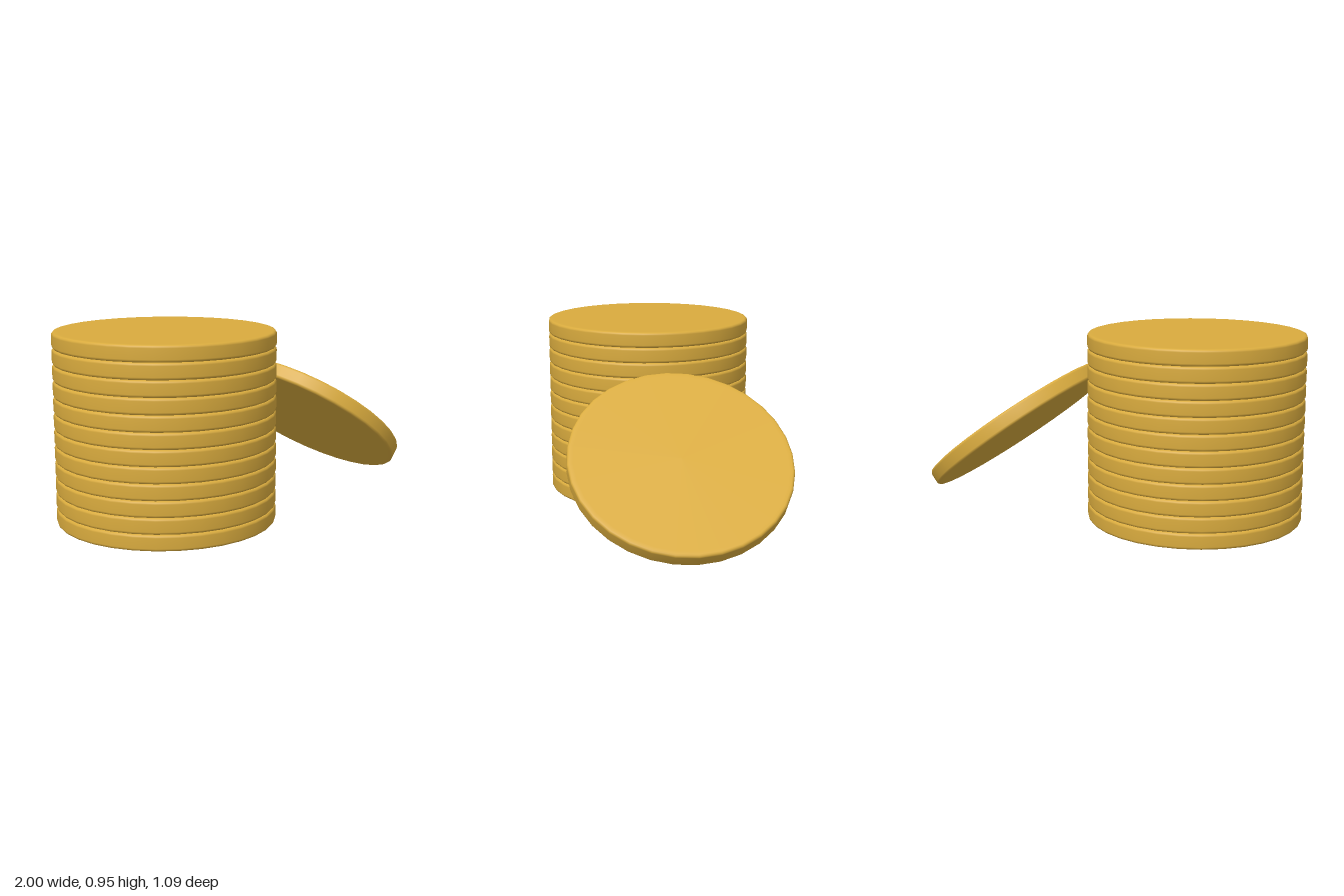
import * as THREE from 'three';

const RADIUS = 0.545;
const THICK = 0.079;
const COUNT = 12;

// Disc with a small rounded rim, centred on its own middle
function coinGeometry() {
  const h = THICK / 2, b = 0.014, steps = 3;
  const points = [new THREE.Vector2(0, -h), new THREE.Vector2(RADIUS - b * 2, -h)];
  for (const side of [-1, 1]) {
    for (let i = 0; i <= steps; i++) {
      const t = (i / steps) * (Math.PI / 2);
      const a = side < 0 ? t - Math.PI / 2 : t;
      points.push(new THREE.Vector2(
        RADIUS - b + b * Math.cos(a),
        side * (h - b) + b * Math.sin(a)
      ));
    }
  }
  points.push(new THREE.Vector2(RADIUS - b * 2, h), new THREE.Vector2(0, h));
  return new THREE.LatheGeometry(points, 32);
}

export function createModel() {
  const model = new THREE.Group();
  model.name = 'coins';
  const gold = new THREE.MeshStandardMaterial({ color: 0xd9ab3e });
  gold.name = 'gold';
  const geometry = coinGeometry();

  // Upright stack
  const stack = new THREE.Group();
  stack.name = 'coinStack';
  stack.position.x = -0.455;
  for (let i = 0; i < COUNT; i++) {
    const coin = new THREE.Mesh(geometry, gold);
    coin.name = `stackedCoin${i + 1}`;
    coin.position.y = THICK * (i + 0.5);
    stack.add(coin);
  }
  model.add(stack);

  // Single coin leaning against the stack
  const leaning = new THREE.Mesh(geometry, gold);
  leaning.name = 'leaningCoin';
  leaning.position.set(0.545, 0.395, 0);
  leaning.rotation.z = THREE.MathUtils.degToRad(-37.2);
  model.add(leaning);

  return model;
}
